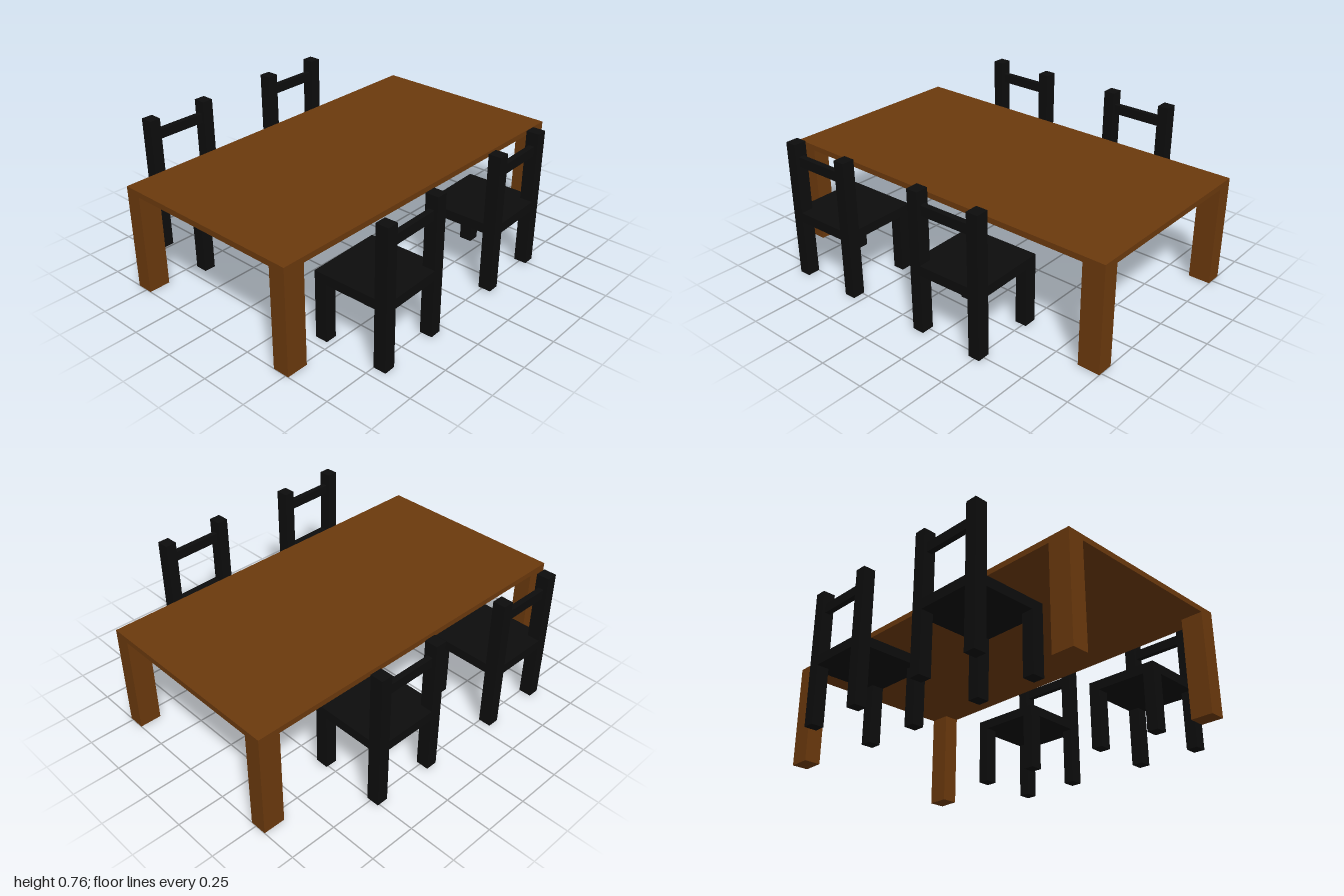
import * as THREE from 'three';

const wood = new THREE.MeshStandardMaterial({ color: 0x6b390d });
const black = new THREE.MeshStandardMaterial({ color: 0x0d0d0d });

// Box given by its centre in x and z, and its bottom and top heights
function block(name, material, w, d, x, z, y0, y1) {
  const mesh = new THREE.Mesh(new THREE.BoxGeometry(w, y1 - y0, d), material);
  mesh.name = name;
  mesh.position.set(x, (y0 + y1) / 2, z);
  return mesh;
}

function createTable() {
  const table = new THREE.Group();
  table.name = 'table';
  const width = 2, depth = 1.075, legW = 0.117, legD = 0.09;
  table.add(block('tableTop', wood, width, depth, 0, 0, 0.54, 0.57));
  for (const sx of [-1, 1]) for (const sz of [-1, 1]) {
    table.add(block('tableLeg', wood, legW, legD,
      sx * (width - legW) / 2, sz * (depth - legD) / 2, 0, 0.54));
  }
  table.position.z = -0.022;
  return table;
}

// Chair with its backrest towards +z
function createChair() {
  const chair = new THREE.Group();
  chair.name = 'chair';
  const width = 0.406, depth = 0.415, legW = 0.062, legD = 0.068;
  const legX = (width - legW) / 2, legZ = (depth - legD) / 2;
  const seatDepth = depth - legD;
  chair.add(block('seat', black, width, seatDepth, 0, -legD / 2, 0.316, 0.368));
  chair.add(block('seatBackEdge', black, width - 2 * legW, legD, 0, legZ, 0.316, 0.368));
  chair.add(block('backRail', black, width - 2 * legW, 0.03, 0, legZ, 0.62, 0.672));
  for (const s of [-1, 1]) {
    chair.add(block('frontLeg', black, legW, legD, s * legX, -legZ, 0, 0.316));
    chair.add(block('backPost', black, legW, legD, s * legX, legZ, 0, 0.743));
  }
  return chair;
}

export function createModel() {
  const model = new THREE.Group();
  model.name = 'diningSet';
  model.add(createTable());
  // Chair placements: x, y, z, turn
  const places = [
    [-0.498, 0, 0.605, 0.025],
    [0.328, 0.01, 0.592, 0.03],
    [-0.495, 0.008, -0.61, Math.PI],
    [0.319, 0.017, -0.6, Math.PI],
  ];
  for (const [x, y, z, turn] of places) {
    const chair = createChair();
    chair.position.set(x, y, z);
    chair.rotation.y = turn;
    model.add(chair);
  }
  return model;
}
